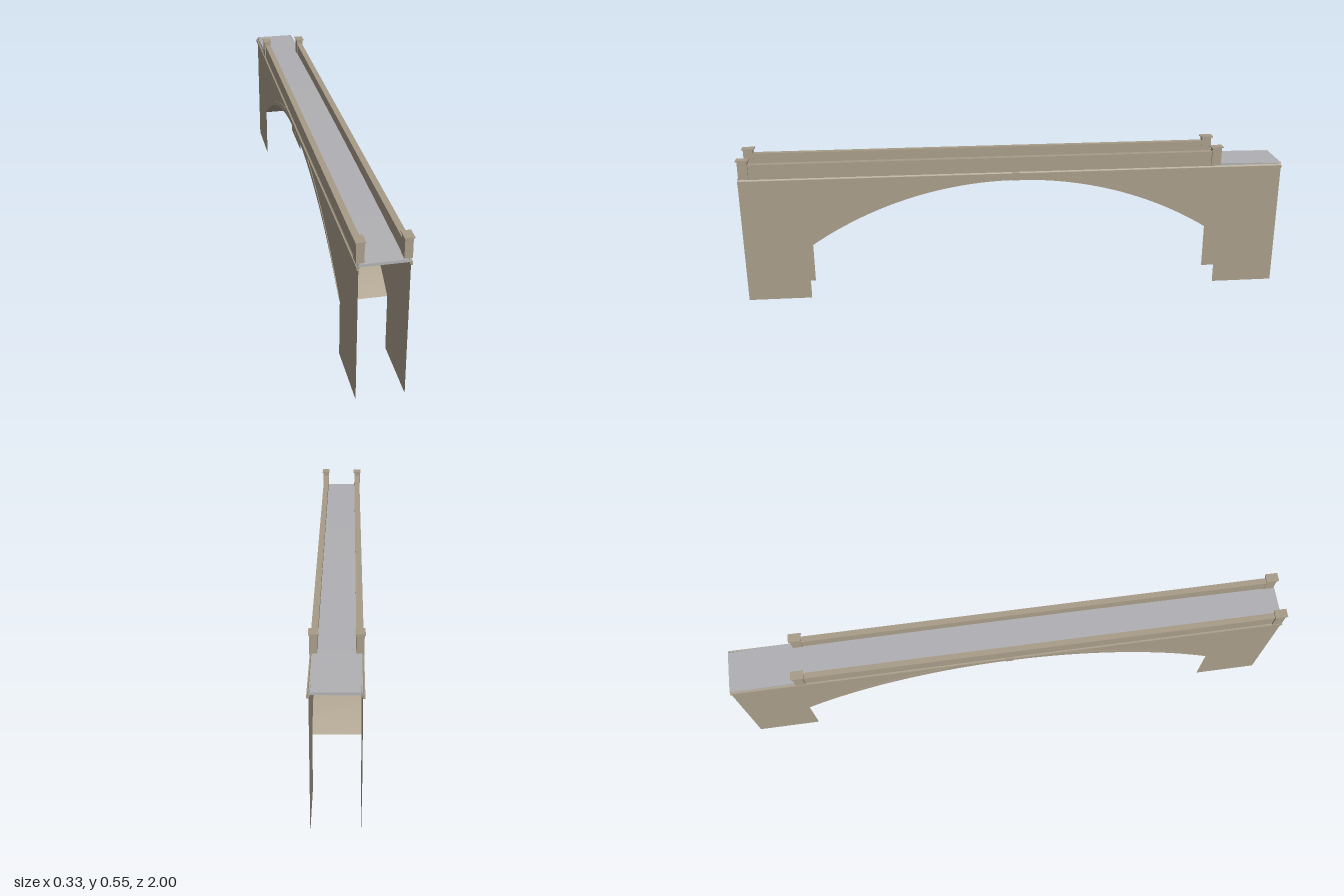
import * as THREE from 'three';

const HALF = 0.995;      // half length of the bridge
const WALL = 0.0765;     // half width between the side walls
const SPRING = 0.765;    // arch springing distance from the middle
const SPRING_Y = 0.2;
const YAW = 0.0825;      // the bridge stands slightly turned

const stone = new THREE.MeshStandardMaterial({ color: 0xa89c88, side: THREE.DoubleSide });
const paving = new THREE.MeshStandardMaterial({ color: 0xb0b0b4, side: THREE.DoubleSide });

// Points on a circular arc from -SPRING to +SPRING with the given crown height
function arcPoints(crown, n = 40) {
  const rise = crown - SPRING_Y;
  const r = (SPRING * SPRING + rise * rise) / (2 * rise);
  const a = Math.asin(SPRING / r);
  return Array.from({ length: n + 1 }, (_, i) => {
    const t = a * (2 * i / n - 1);
    return new THREE.Vector2(r * Math.sin(t), crown - r + r * Math.cos(t));
  });
}

// Extrude a side profile (length, height) across the width, from x = x0 to x1
function acrossWidth(points, x0, x1) {
  const g = new THREE.ExtrudeGeometry(new THREE.Shape(points), { depth: x1 - x0, bevelEnabled: false });
  return g.rotateY(-Math.PI / 2).translate(x1, 0, 0);
}

// Extrude a cross-section (width, height) along the length, from z = z0 to z1
function alongLength(points, z0, z1) {
  const g = new THREE.ExtrudeGeometry(new THREE.Shape(points), { depth: z1 - z0, bevelEnabled: false });
  return g.translate(0, 0, z0);
}

export function createModel() {
  const model = new THREE.Group();
  const bridge = new THREE.Group();
  bridge.name = 'bridge';
  bridge.rotation.y = YAW;
  bridge.position.x = -0.002;
  model.add(bridge);

  const add = (name, geometry, material = stone) => {
    const mesh = new THREE.Mesh(geometry, material);
    mesh.name = name;
    bridge.add(mesh);
    return mesh;
  };
  const box = (name, w, h, d, x, y, z) =>
    add(name, new THREE.BoxGeometry(w, h, d).translate(x, y, z));
  const v = (x, y) => new THREE.Vector2(x, y);

  const arch = arcPoints(0.44);

  // Vault: open curved sheet between the walls
  const vault = new THREE.PlaneGeometry(2 * WALL, 1, 1, arch.length - 1);
  const pos = vault.attributes.position;
  for (let i = 0; i < pos.count; i++) {
    const p = arch[Math.floor(i / 2)];
    pos.setXYZ(i, pos.getX(i), p.y, p.x);
  }
  vault.computeVertexNormals();
  add('archVault', vault);

  // Deck slab with a gentle camber
  const top = Array.from({ length: 25 }, (_, i) => {
    const z = HALF * (1 - 2 * i / 24);
    return v(z, 0.487 - 0.012 * z * z);
  });
  add('deck', acrossWidth([v(-HALF, 0.466), v(HALF, 0.466), ...top], -0.076, 0.076), paving);

  const parapetBack = -0.745, parapetFront = 0.972;
  for (const s of [1, -1]) {
    const side = s > 0 ? 'left' : 'right';

    // Side wall sheet: piers and spandrel with the arch cut out
    const outline = [v(-HALF, 0), v(-SPRING, 0), ...arch, v(SPRING, 0), v(HALF, 0), v(HALF, 0.468), v(-HALF, 0.468)];
    const wall = new THREE.ShapeGeometry(new THREE.Shape(outline));
    wall.rotateY(-Math.PI / 2);
    if (s > 0) { // turn the outer face towards +x
      wall.rotateY(Math.PI);
    }
    add(side + 'Wall', wall.translate(s * WALL, 0, 0));

    // Arch ring, thickest at the crown
    const ring = [...arch, ...arcPoints(0.463).reverse().slice(1, -1)];
    const face = s * (WALL + 0.001);
    add(side + 'ArchRing', acrossWidth(ring, face - 0.001, face + 0.001));

    // Keystone
    box(side + 'Keystone', 0.006, 0.03, 0.026, s * (WALL + 0.001), 0.454, 0);

    // Cornice with a sloped top
    const profile = [[0.0765, 0.455], [0.0825, 0.455], [0.0825, 0.466], [0.079, 0.466], [0.072, 0.477], [0.072, 0.466]];
    add(side + 'Cornice', alongLength(profile.map(([x, y]) => v(s * x, y)), -HALF, HALF));

    // Parapet and its thin coping
    const length = parapetFront - parapetBack, mid = (parapetFront + parapetBack) / 2;
    box(side + 'Parapet', 0.018, 0.052, length, s * 0.0685, 0.497, mid);
    box(side + 'Coping', 0.021, 0.004, length, s * 0.0685, 0.5245, mid);

    // End posts with flat caps
    for (const z of [parapetBack, parapetFront]) {
      const end = z > 0 ? 'Front' : 'Back';
      box(side + end + 'Post', 0.025, 0.066, 0.035, s * 0.0705, 0.508, z);
      box(side + end + 'PostCap', 0.031, 0.004, 0.045, s * 0.0705, 0.543, z);
    }
  }
  return model;
}
